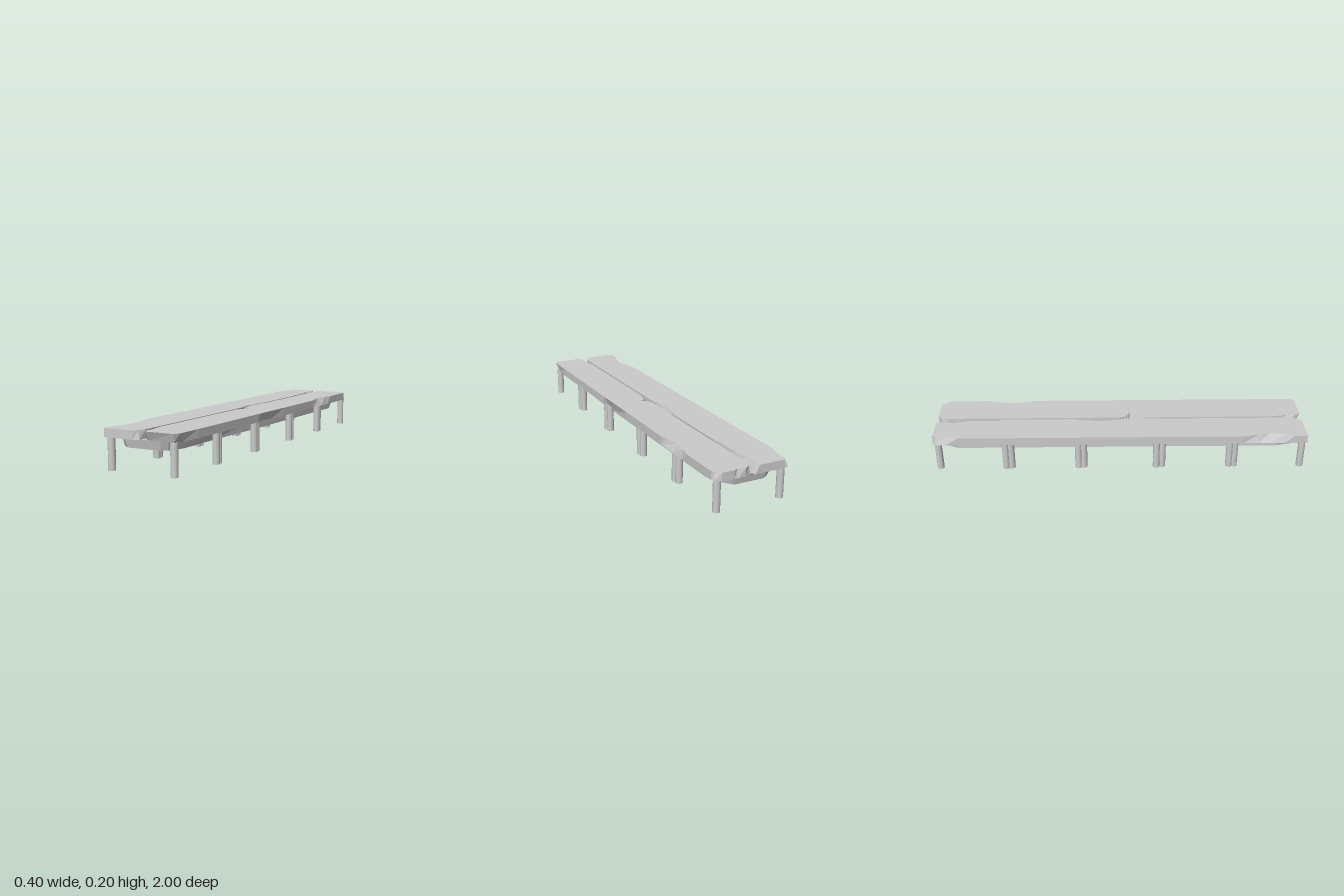
import * as THREE from 'three';

const material = new THREE.MeshStandardMaterial({ color: 0xcccccc, flatShading: true });

// Chipped board between a top and a bottom outline. Each point is
// [x, z] or [topX, topZ, bottomX, bottomZ], running front, right, back, left.
function board(name, points, y0, y1) {
  const top = points.map(p => new THREE.Vector3(p[0], y1, p[1]));
  const bottom = points.map(p => new THREE.Vector3(p[2] ?? p[0], y0, p[3] ?? p[1]));
  const faces = [];
  const cap = (ring, flip) => {
    const contour = ring.map(v => new THREE.Vector2(v.x, -v.z));
    for (const [a, b, c] of THREE.ShapeUtils.triangulateShape(contour, [])) {
      faces.push(ring[a], ring[flip ? c : b], ring[flip ? b : c]);
    }
  };
  cap(top, false);
  cap(bottom, true);
  points.forEach((_, i) => {
    const j = (i + 1) % points.length;
    faces.push(bottom[i], bottom[j], top[j], bottom[i], top[j], top[i]);
  });
  const geometry = new THREE.BufferGeometry().setFromPoints(faces);
  geometry.computeVertexNormals();
  const mesh = new THREE.Mesh(geometry, material);
  mesh.name = name;
  return mesh;
}

export function createModel() {
  const group = new THREE.Group();
  group.name = 'lowPlankBench';

  // Weathered top planks with chips along their edges
  group.add(board('rightPlank', [
    [-0.2, 1],
    [-0.04, 1],
    [-0.02, 0.98, -0.012, 0.985],
    [-0.008, 0.94],
    [-0.008, 0.03],
    [-0.02, -0.02, -0.008, -0.02],
    [-0.03, -0.1, -0.008, -0.1],
    [-0.022, -0.19, -0.008, -0.19],
    [-0.008, -0.25],
    [-0.008, -0.64],
    [-0.018, -0.67, -0.01, -0.67],
    [-0.02, -0.83, -0.008, -0.83],
    [-0.038, -0.91, -0.012, -0.91],
    [-0.03, -0.975, -0.008, -0.97],
    [-0.035, -1, -0.01, -1],
    [-0.17, -1],
    [-0.182, -0.98, -0.198, -0.99],
    [-0.18, -0.93, -0.2, -0.93],
    [-0.2, -0.86],
    [-0.2, 0.66],
    [-0.185, 0.74, -0.2, 0.74],
    [-0.17, 0.8, -0.2, 0.8],
    [-0.182, 0.88, -0.2, 0.88],
    [-0.2, 0.93],
  ], 0.157, 0.2));

  group.add(board('leftPlank', [
    [0.03, 1, 0.035, 0.98],
    [0.18, 1, 0.175, 0.985],
    [0.2, 0.975, 0.19, 0.94],
    [0.2, 0.82],
    [0.2, 0.24],
    [0.2, 0.2, 0.185, 0.18],
    [0.2, 0.06, 0.188, 0.04],
    [0.2, -0.08],
    [0.2, -0.48],
    [0.187, -0.52, 0.2, -0.5],
    [0.175, -0.6, 0.2, -0.6],
    [0.188, -0.68, 0.2, -0.7],
    [0.2, -0.74],
    [0.2, -0.96],
    [0.185, -0.975, 0.197, -0.98],
    [0.165, -1],
    [0.1, -1],
    [0.08, -0.99, 0.08, -1],
    [0.04, -1],
    [0.012, -0.98, 0.007, -0.985],
    [0.006, -0.93],
    [0.006, 0],
    [0.02, 0.035, 0.01, 0.035],
    [0.035, 0.048, 0.012, 0.048],
    [0.085, 0.053, 0.014, 0.053],
    [0.032, 0.062, 0.012, 0.062],
    [0.018, 0.08, 0.008, 0.08],
    [0.006, 0.14],
    [0.006, 0.84],
    [0.022, 0.93, 0.008, 0.91],
    [0.018, 0.97, 0.012, 0.96],
  ], 0.157, 0.2));

  // Support slab with worn corners, set between the legs
  group.add(board('supportSlab', [
    [-0.1, 0.98, -0.09, 0.97],
    [0.1, 0.98, 0.09, 0.97],
    [0.13, 0.96, 0.12, 0.95],
    [0.155, 0.9, 0.15, 0.87],
    [0.155, 0.6, 0.148, 0.6],
    [0.155, 0.25],
    [0.155, -0.85, 0.153, -0.83],
    [0.13, -0.94, 0.12, -0.92],
    [0.09, -0.98, 0.08, -0.97],
    [-0.09, -0.98, -0.08, -0.97],
    [-0.13, -0.95, -0.12, -0.94],
    [-0.155, -0.89, -0.155, -0.87],
    [-0.155, 0.86, -0.155, 0.84],
    [-0.14, 0.94, -0.135, 0.93],
  ], 0.113, 0.157));

  // Round legs: single at the ends, close pairs between
  const legGeometry = new THREE.CylinderGeometry(0.0185, 0.0185, 0.157, 16);
  const legMaterial = new THREE.MeshStandardMaterial({ color: 0xcccccc });
  const legZ = [0.978, 0.619, 0.591, 0.228, 0.197, -0.195, -0.224, -0.586, -0.615, -0.972];
  for (const side of [-1, 1]) {
    legZ.forEach((z, i) => {
      const leg = new THREE.Mesh(legGeometry, legMaterial);
      leg.name = side > 0 ? 'leftLeg' : 'rightLeg';
      leg.position.set(side * 0.173 + (i % 2 ? 0.002 : -0.002), 0.0785, z);
      group.add(leg);
    });
  }
  return group;
}
